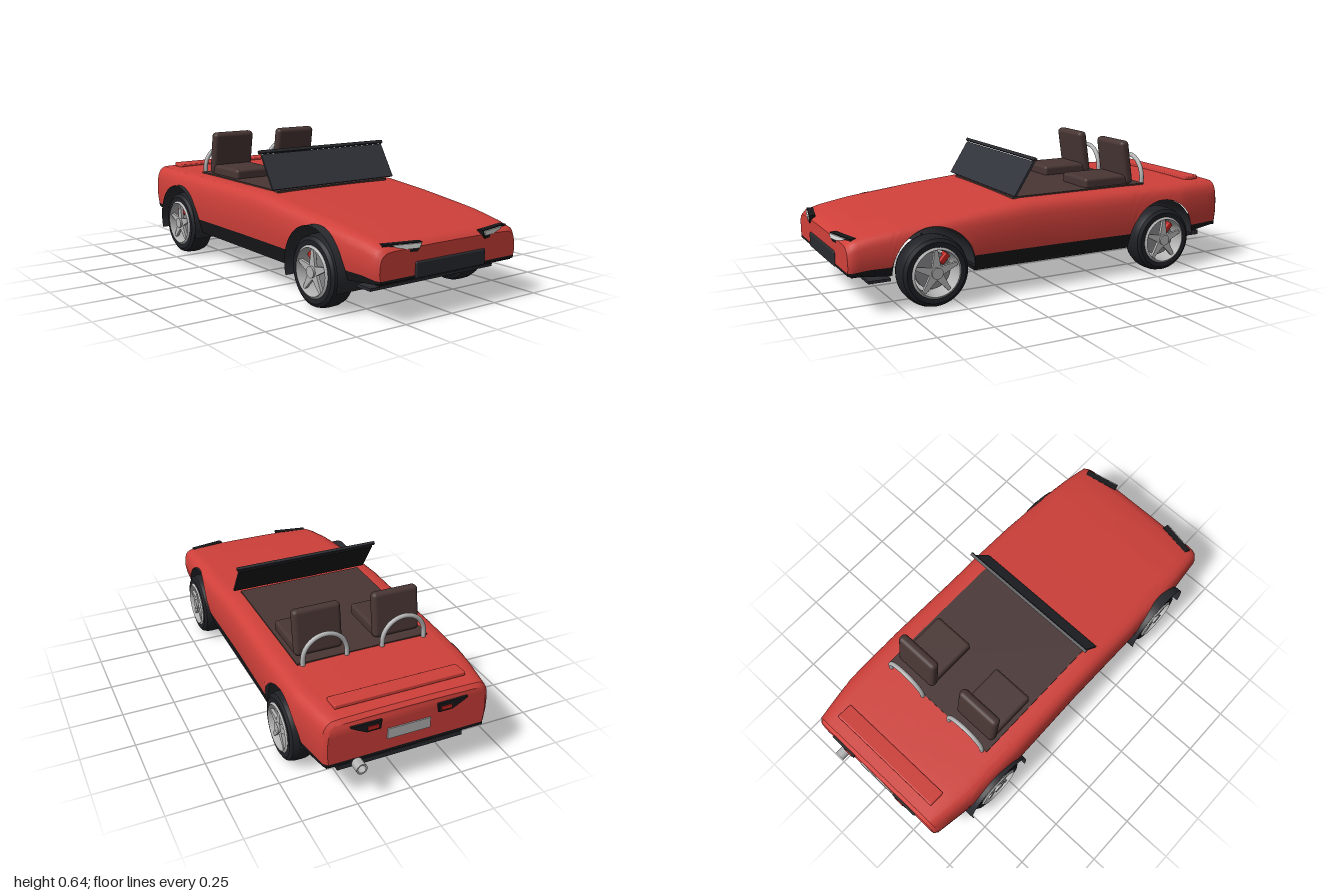
import * as THREE from 'three';
import { toCreasedNormals } from 'three/addons/utils/BufferGeometryUtils.js';
import { RoundedBoxGeometry } from 'three/addons/geometries/RoundedBoxGeometry.js';

const paint = (name, color, side = THREE.FrontSide) => {
  const m = new THREE.MeshStandardMaterial({ color, side });
  m.name = name;
  return m;
};

const ARCHES = [-0.58, 0.615], ARCH_R = 0.19, ARCH_Y = 0.165;

// linear lookup in a small table of [position, value]
function lookup(table, p) {
  for (let i = 1; i < table.length; i++) {
    const [a, va] = table[i - 1], [b, vb] = table[i];
    if (p <= b) return va + (vb - va) * Math.max(0, (p - a) / (b - a));
  }
  return table[table.length - 1][1];
}

const TOP = [[-0.952, 0.39], [-0.935, 0.406], [-0.8, 0.413], [-0.4, 0.417], [0.15, 0.417], [0.4, 0.395],
  [0.75, 0.358], [0.9, 0.335], [0.965, 0.318], [0.985, 0.3]];
const WIDTH = [[-0.952, 0.37], [-0.935, 0.388], [-0.8, 0.41], [-0.7, 0.425], [-0.4, 0.43], [0, 0.424],
  [0.4, 0.427], [0.65, 0.42], [0.8, 0.41], [0.965, 0.392], [0.985, 0.378]];
const SIDE = [[0, 0.94], [0.2, 0.975], [0.5, 1], [0.75, 0.99], [0.88, 0.97], [0.95, 0.94], [1, 0.885]];

function lowerEdge(z) {
  for (const c of ARCHES) {
    const d = Math.abs(z - c);
    if (d <= ARCH_R + 1e-6) return ARCH_Y + Math.sqrt(Math.max(0, ARCH_R ** 2 - d * d));
  }
  if (z < -0.58) return lookup([[-0.952, 0.19], [-0.77, 0.172]], z);
  return z > 0.615 ? lookup([[0.8, 0.16], [0.985, 0.178]], z) : 0.14;
}

// cross-sections along z: trim row, flank, shoulder, crown, then mirrored
function bodyGeometries() {
  const zs = [-0.952, -0.945, -0.935, -0.87, -0.8, -0.3, -0.2, -0.1, 0, 0.08, 0.15, 0.22, 0.3, 0.38,
    0.85, 0.9, 0.94, 0.965, 0.977, 0.985];
  for (const c of ARCHES) {
    zs.push(c - ARCH_R - 0.002, c + ARCH_R + 0.002);
    for (let k = 0; k <= 24; k++) zs.push(c - ARCH_R * Math.cos(Math.PI * k / 24));
  }
  zs.sort((a, b) => a - b);
  const pos = [], red = [], trim = [];
  const rows = [0, 0.25, 0.5, 0.7, 0.82, 0.91, 0.96, 1];
  let n = 0;
  for (const z of zs) {
    const top = lookup(TOP, z), w = lookup(WIDTH, z), low = lowerEdge(z);
    const trimY = Math.max(low, lookup([[-0.95, 0.205], [0.4, 0.208], [0.9, 0.2], [0.985, 0.19]], z));
    const ys = [low, ...rows.map(s => trimY + (top - trimY) * s)];
    const half = ys.map(y => [w * lookup(SIDE, (y - 0.14) / (top - 0.14)), y]);
    for (const f of [0.8, 0.5, 0.2]) half.push([w * f, top + 0.006 * (1 - f * f)]);
    const ring = [...half, ...half.slice().reverse().map(([x, y]) => [-x, y])];
    n = ring.length;
    ring.forEach(([x, y]) => pos.push(x, y, z));
  }
  for (let i = 0; i < zs.length - 1; i++) for (let j = 0; j < n - 1; j++) {
    const a = i * n + j, b = a + n;
    (j === 0 || j === n - 2 ? trim : red).push(a, a + 1, b, a + 1, b + 1, b);
  }
  // nose and tail faces
  const last = (zs.length - 1) * n;
  for (let j = 0; j < n / 2 - 1; j++) {
    const list = j === 0 ? trim : red, k = n - 1 - j;
    list.push(last + j, last + j + 1, last + k - 1, last + j, last + k - 1, last + k);
    list.push(j, k - 1, j + 1, j, k, k - 1);
  }
  return [red, trim].map(index => {
    const g = new THREE.BufferGeometry();
    g.setAttribute('position', new THREE.Float32BufferAttribute(pos, 3));
    g.setIndex(index);
    return toCreasedNormals(g, 0.7);
  });
}

export function createModel() {
  const car = new THREE.Group();
  const red = paint('bodyRed', 0xd0403a), black = paint('black', 0x18181b);
  const charcoal = paint('charcoal', 0x2a2b30, THREE.DoubleSide), rubber = paint('rubber', 0x202126);
  const brown = paint('seatBrown', 0x483634), glass = paint('darkGlass', 0x32343c);
  const silver = paint('silver', 0xb4b4b4, THREE.DoubleSide), steel = paint('steel', 0x858587);
  const white = paint('lampWhite', 0xe4e4e4), brake = paint('brakeRed', 0xc22420);

  const add = (parent, name, geo, mat, x = 0, y = 0, z = 0, rx = 0, ry = 0) => {
    const m = new THREE.Mesh(geo, mat);
    m.name = name;
    m.position.set(x, y, z);
    m.rotation.set(rx, ry, 0);
    parent.add(m);
    return m;
  };
  const box = (w, h, d) => new THREE.BoxGeometry(w, h, d);
  const round = (w, h, d, r) => new RoundedBoxGeometry(w, h, d, 3, r);

  const [shell, skirt] = bodyGeometries();
  add(car, 'bodyShell', shell, red);
  add(car, 'lowerTrim', skirt, black);

  // underside
  add(car, 'floorPan', box(0.8, 0.015, 0.815), black, 0, 0.143, 0.017);
  add(car, 'noseUnderside', box(0.74, 0.012, 0.165), black, 0, 0.175, 0.888);
  add(car, 'tailUnderside', box(0.74, 0.012, 0.17), black, 0, 0.19, -0.86);
  add(car, 'frontSplitter', box(0.69, 0.012, 0.1), charcoal, 0, 0.13, 0.84);
  add(car, 'rearDiffuser', box(0.6, 0.022, 0.115), charcoal, 0, 0.13, -0.845);

  // wheel wells across the car, and the longer liners on the right side
  const liner = (x0, x1, extra) => new THREE.CylinderGeometry(ARCH_R, ARCH_R, x1 - x0, 36, 1, true,
    -extra, Math.PI + 2 * extra).rotateZ(Math.PI / 2).translate((x0 + x1) / 2, 0, 0);
  for (const z of ARCHES) {
    add(car, 'wheelWell', liner(-0.22, 0.41, 0), charcoal, 0, ARCH_Y, z);
    add(car, 'wheelLiner', liner(-0.445, -0.22, 0.32), charcoal, 0, ARCH_Y, z);
  }

  // wheels, built with the axle along x and the outer face at +x
  const lathe = pts => new THREE.LatheGeometry(pts.map(p => new THREE.Vector2(...p)), 40).rotateZ(-Math.PI / 2);
  const tyre = toCreasedNormals(lathe([[0.108, -0.055], [0.135, -0.058], [0.15, -0.048], [0.157, -0.025],
    [0.158, 0], [0.157, 0.025], [0.15, 0.048], [0.135, 0.058], [0.108, 0.055]]), 0.6);
  const rim = toCreasedNormals(lathe([[0.113, -0.056], [0.104, -0.045], [0.097, 0], [0.098, 0.045],
    [0.104, 0.066], [0.114, 0.058]]), 0.6);
  const disc = new THREE.CylinderGeometry(0.082, 0.082, 0.014, 32).rotateZ(Math.PI / 2);
  const hub = new THREE.CylinderGeometry(0.022, 0.026, 0.03, 20).rotateZ(Math.PI / 2);
  const axle = new THREE.CylinderGeometry(0.035, 0.035, 0.06, 20).rotateZ(Math.PI / 2);
  const blade = new THREE.Shape([[-0.022, 0.01], [0.022, 0.01], [0.007, 0.1], [-0.007, 0.1]]
    .map(p => new THREE.Vector2(...p)));
  const spoke = new THREE.ExtrudeGeometry(blade, { depth: 0.014, bevelEnabled: false }).rotateY(Math.PI / 2);
  for (const s of [1, -1]) for (const z of ARCHES) {
    const wheel = new THREE.Group();
    wheel.name = 'wheel';
    wheel.position.set(s * 0.377, 0.158, z);
    if (s < 0) wheel.rotation.y = Math.PI;
    add(wheel, 'tyre', tyre, rubber);
    add(wheel, 'rim', rim, silver);
    add(wheel, 'brakeDisc', disc, steel, 0.005);
    add(wheel, 'axleStub', axle, rubber, -0.025);
    add(wheel, 'hub', hub, silver, 0.052);
    add(wheel, 'caliper', round(0.04, 0.05, 0.028, 0.006), brake, 0.008, 0.05, -0.05 * s, -0.75 * s);
    for (let k = 0; k < 5; k++) add(wheel, 'spoke', spoke, silver, 0.042, 0, 0, k * Math.PI * 0.4);
    car.add(wheel);
  }

  // cockpit, seats and roll hoops
  add(car, 'cockpitFloor', box(0.64, 0.03, 0.72), brown, 0, 0.411, -0.17);
  for (const s of [1, -1]) {
    add(car, 'seatCushion', round(0.215, 0.055, 0.26, 0.015), brown, s * 0.192, 0.443, -0.34);
    add(car, 'seatBack', round(0.228, 0.215, 0.048, 0.02), brown, s * 0.192, 0.53, -0.445, 0.15);
    add(car, 'rollHoop', new THREE.TorusGeometry(0.105, 0.011, 12, 32, Math.PI), silver, s * 0.192, 0.445, -0.537);
    for (const e of [1, -1])
      add(car, 'hoopFoot', new THREE.CylinderGeometry(0.011, 0.011, 0.06, 12), silver, s * 0.192 + e * 0.105, 0.417, -0.537);
  }

  // windscreen leaning back
  const lean = -Math.atan2(0.095, 0.15);
  add(car, 'windscreen', box(0.71, 0.18, 0.008), glass, 0, 0.51, 0.15, lean);
  add(car, 'windscreenBacking', box(0.708, 0.178, 0.003), black, 0, 0.507, 0.1455, lean);
  add(car, 'windscreenTopRail', box(0.73, 0.014, 0.014), charcoal, 0, 0.597, 0.098, lean);

  // front grille and headlights
  add(car, 'grille', round(0.39, 0.07, 0.03, 0.008), charcoal, 0, 0.21, 0.977);
  for (const s of [1, -1]) {
    const outline = pts => new THREE.Shape(pts.map(([x, y]) => new THREE.Vector2(s * x, y)));
    const housing = new THREE.ExtrudeGeometry(
      outline([[-0.09, 0.016], [-0.085, -0.002], [-0.07, -0.022], [-0.03, -0.022], [-0.015, -0.008], [0.09, 0.009], [0.085, 0.018]]),
      { depth: 0.03, bevelEnabled: false }).translate(0, 0, -0.03);
    const lens = new THREE.ExtrudeGeometry(
      outline([[-0.085, 0.012], [-0.075, -0.008], [-0.02, -0.008], [0.03, 0.003], [0.05, 0.013]]),
      { depth: 0.006, bevelEnabled: false });
    const lamp = new THREE.Group();
    lamp.name = 'headlight';
    lamp.position.set(s * 0.258, 0.31, 0.978);
    lamp.rotation.y = s * 0.2;
    add(lamp, 'headlightHousing', housing, black);
    add(lamp, 'headlightLens', lens, white);
    car.add(lamp);

    // tail lights
    const tail = new THREE.ExtrudeGeometry(
      outline([[-0.07, 0.02], [-0.065, -0.022], [0, -0.022], [0.07, 0.016], [0.07, 0.022]]),
      { depth: 0.012, bevelEnabled: false });
    add(car, 'tailLightHousing', tail, black, s * 0.2, 0.35, -0.962);
    add(car, 'tailLightLens', box(0.05, 0.018, 0.008), brake, s * 0.17, 0.346, -0.962);
  }

  // rear details
  add(car, 'rearSpoiler', round(0.61, 0.02, 0.08, 0.006), red, 0, 0.421, -0.84, 0.08);
  add(car, 'rearPlate', box(0.2, 0.05, 0.008), silver, 0, 0.285, -0.954);
  const pipe = toCreasedNormals(lathe([[0.018, -0.08], [0.018, 0.03], [0.025, 0.032], [0.025, 0.08], [0.018, 0.08],
    [0.016, 0.03], [0, 0.03]]), 0.6);
  add(car, 'exhaust', pipe, silver, 0.235, 0.178, -0.92, 0, Math.PI / 2);
  return car;
}
